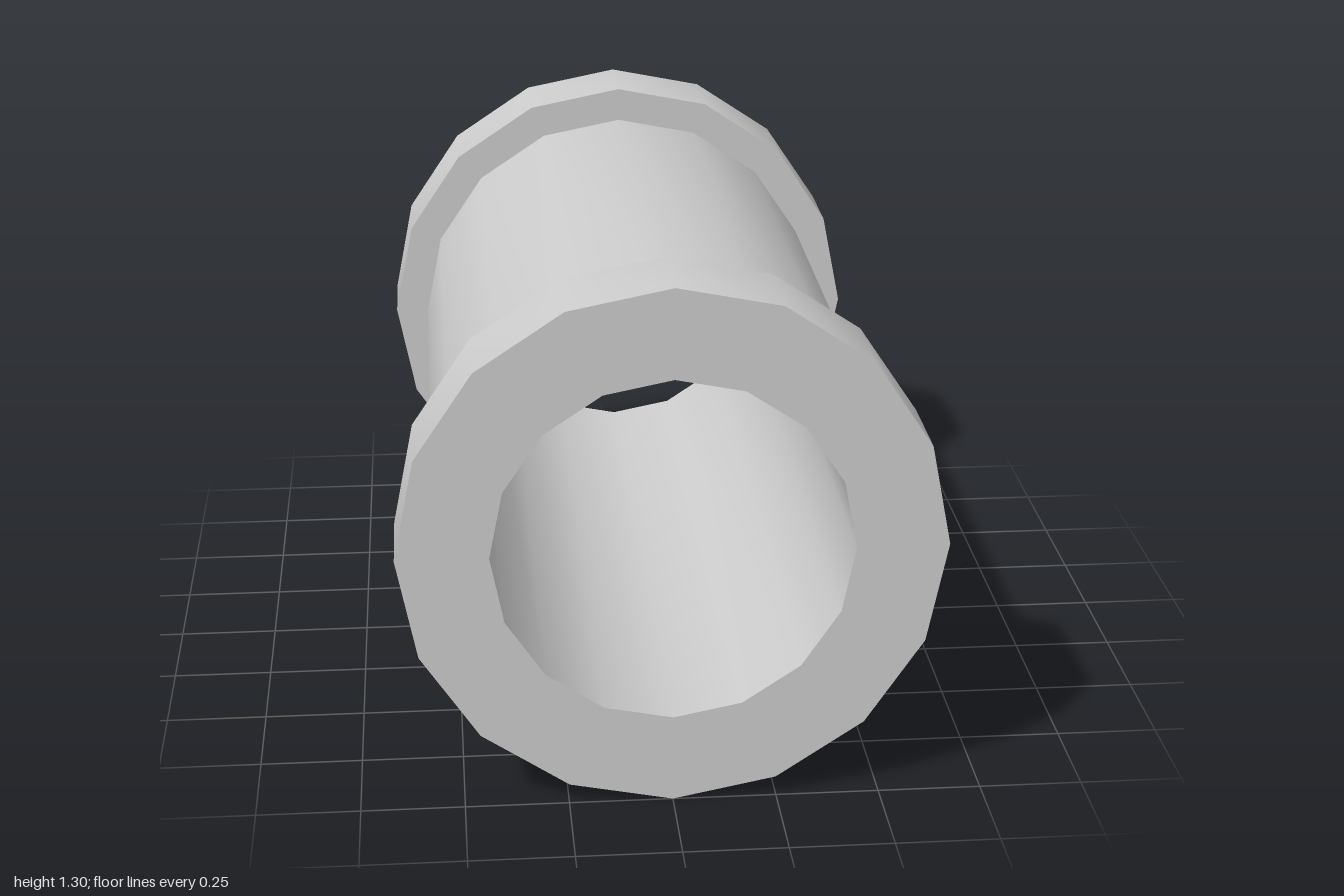
import * as THREE from 'three';
import { toCreasedNormals } from 'three/addons/utils/BufferGeometryUtils.js';

const SIDES = 16;
const BORE_R = 0.43, BODY_R = 0.56, COLLAR_R = 0.65;
const BODY_END = 0.77, PIPE_END = 1;

export function createModel() {
  const model = new THREE.Group();
  model.name = 'pipe';
  const material = new THREE.MeshStandardMaterial({ color: 0xcccccc });

  // Turn a [radius, z] profile around the z axis, keeping rims sharp
  function turned(name, profile) {
    const points = profile.map(([r, z]) => new THREE.Vector2(r, z));
    const geometry = new THREE.LatheGeometry(points, SIDES).rotateX(Math.PI / 2);
    const mesh = new THREE.Mesh(toCreasedNormals(geometry, Math.PI / 5), material);
    mesh.name = name;
    mesh.position.y = COLLAR_R;
    model.add(mesh);
    return mesh;
  }

  // Outer wall between the collars
  turned('pipeBody', [[BODY_R, -BODY_END], [BODY_R, BODY_END]]);

  // Through hole, facing inward
  turned('bore', [[BORE_R, PIPE_END], [BORE_R, -PIPE_END]]);

  // Collars: inner step, rim and ring-shaped end face
  const collar = [
    [BODY_R, BODY_END], [COLLAR_R, BODY_END],
    [COLLAR_R, PIPE_END], [BORE_R, PIPE_END],
  ];
  turned('frontCollar', collar);
  turned('backCollar', collar).rotation.y = Math.PI;

  return model;
}
